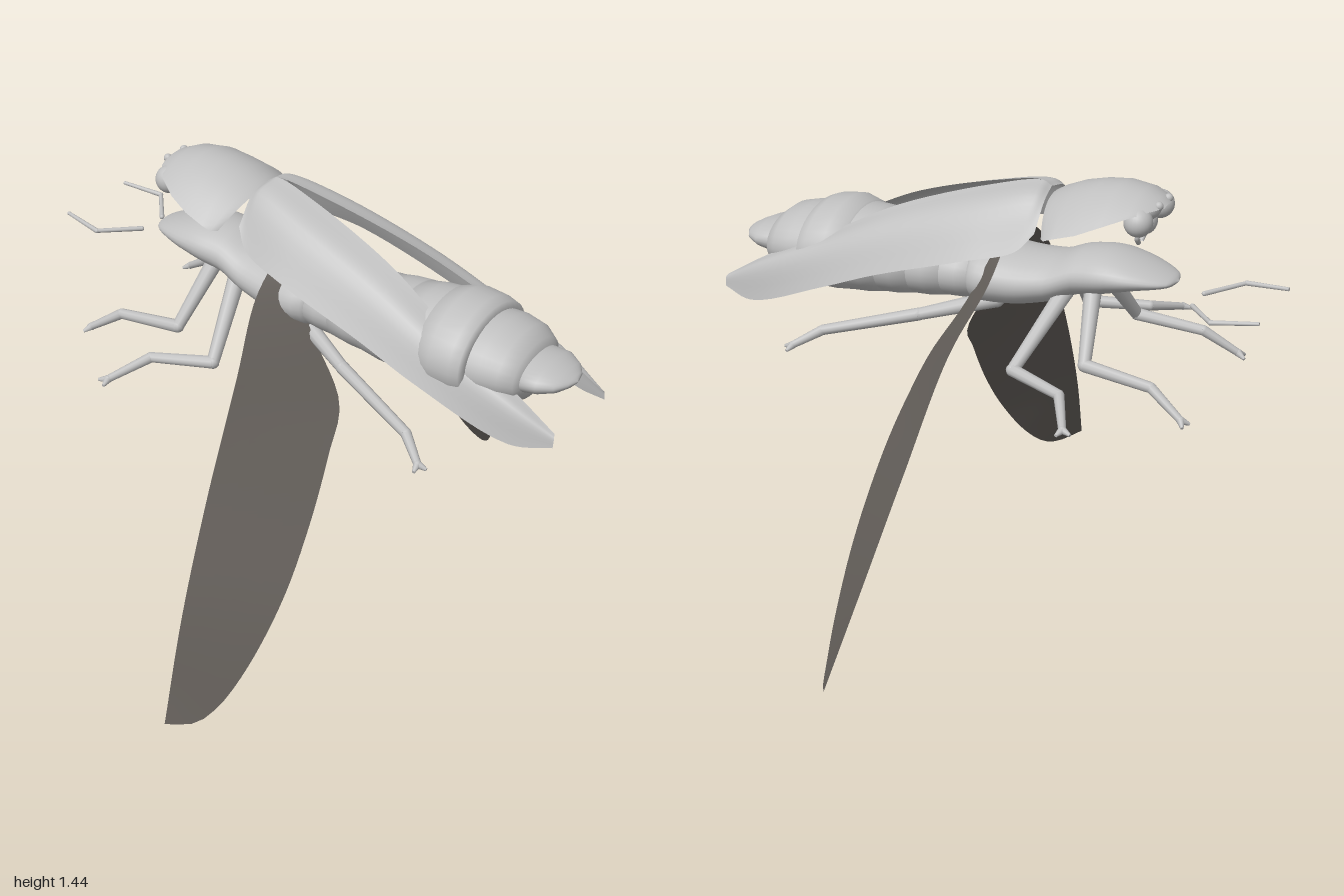
import * as THREE from 'three';

const MID = -0.05; // body midline in x

export function createModel() {
  const model = new THREE.Group();
  model.name = 'beetle';
  const shell = new THREE.MeshStandardMaterial({ name: 'shellGrey', color: 0xc0c0c0, side: THREE.DoubleSide });
  const film = new THREE.MeshStandardMaterial({ name: 'wingGrey', color: 0x67625d, side: THREE.DoubleSide });

  const V = (p) => new THREE.Vector3(...p);
  const add = (name, geometry, material = shell, parent = model) => {
    const mesh = new THREE.Mesh(geometry, material);
    mesh.name = name;
    parent.add(mesh);
    return mesh;
  };

  // Skin over rows of points, optionally closed around each row
  function skin(rows, closed) {
    const n = rows[0].length, index = [];
    for (let i = 0; i < rows.length - 1; i++) {
      for (let j = 0; j < (closed ? n : n - 1); j++) {
        const k = (j + 1) % n, a = i * n + j, b = i * n + k;
        index.push(a, b, a + n, b, b + n, a + n);
      }
    }
    const g = new THREE.BufferGeometry();
    g.setAttribute('position', new THREE.Float32BufferAttribute(rows.flat(2), 3));
    g.setIndex(index);
    g.computeVertexNormals();
    return g;
  }

  // Body piece from stations [z, half width, top, bottom], with z rising
  function bodyPiece(stations, sides = 32) {
    return skin(stations.map(([z, rx, top, bottom]) =>
      Array.from({ length: sides }, (_, j) => {
        const a = (j / sides) * Math.PI * 2;
        return [MID + rx * Math.cos(a), (top + bottom) / 2 + ((top - bottom) / 2) * Math.sin(a), z];
      })), true);
  }

  // Resample stations along a smooth curve
  function smooth(stations, count) {
    const a = new THREE.CatmullRomCurve3(stations.map((s) => V([s[0], s[1], 0])));
    const b = new THREE.CatmullRomCurve3(stations.map((s) => V([s[2], s[3], 0])));
    return Array.from({ length: count + 1 }, (_, i) => {
      const p = a.getPoint(i / count), q = b.getPoint(i / count);
      return [p.x, p.y, q.x, q.y];
    });
  }

  // Thorax with its pointed front
  add('thorax', bodyPiece(smooth([
    [-0.62, 0.004, 1.16, 1.156], [-0.6, 0.06, 1.175, 1.143], [-0.5, 0.115, 1.21, 1.12],
    [-0.4, 0.13, 1.23, 1.09], [-0.31, 0.125, 1.22, 1.07], [-0.22, 0.135, 1.185, 1.03],
    [-0.1, 0.15, 1.18, 1.0], [0.03, 0.15, 1.19, 0.99], [0.08, 0.06, 1.13, 1.05],
  ], 32)));

  // Overlapping abdomen segments, each flared at its rear rim
  for (let i = 0; i < 4; i++) {
    const z = 0.02 + i * 0.113, t = i / 3;
    const top = 1.19 + 0.035 * t, bottom = 0.985 - 0.045 * t, rx = 0.15 + 0.035 * t;
    add('abdomenSegment', bodyPiece([
      [z - 0.02, rx * 0.5, top - 0.06, bottom + 0.06], [z, rx * 0.93, top - 0.014, bottom + 0.014],
      [z + 0.06, rx * 0.98, top - 0.003, bottom + 0.003], [z + 0.112, rx, top, bottom],
      [z + 0.122, rx * 0.97, top - 0.007, bottom + 0.007], [z + 0.123, rx * 0.6, top - 0.06, bottom + 0.06],
    ]));
  }
  add('broadAbdomenSegment', bodyPiece([
    [0.46, 0.15, 1.2, 0.98], [0.475, 0.19, 1.23, 0.94], [0.53, 0.205, 1.245, 0.935],
    [0.6, 0.203, 1.235, 0.935], [0.63, 0.197, 1.222, 0.945], [0.64, 0.18, 1.2, 0.96], [0.64, 0.01, 1.09, 1.07],
  ]));
  add('rearAbdomenSegment', bodyPiece([
    [0.6, 0.17, 1.205, 0.96], [0.68, 0.175, 1.2, 0.965], [0.74, 0.163, 1.185, 0.975],
    [0.78, 0.138, 1.155, 0.985], [0.795, 0.1, 1.12, 1.01], [0.795, 0.01, 1.07, 1.06],
  ]));
  add('tailPlate', bodyPiece([
    [0.75, 0.08, 1.11, 1.01], [0.79, 0.115, 1.13, 1.015], [0.84, 0.115, 1.122, 1.03],
    [0.885, 0.085, 1.102, 1.045], [0.91, 0.045, 1.088, 1.06], [0.92, 0.002, 1.075, 1.07],
  ]));

  // Arched shield over the head: [z, half width, top, rim, backward sweep of rim]
  const shieldRows = [
    [-0.205, 0.195, 1.385, 1.3, 0.04], [-0.23, 0.212, 1.4, 1.302, 0.03], [-0.29, 0.217, 1.425, 1.315, 0],
    [-0.36, 0.207, 1.443, 1.335, 0], [-0.43, 0.188, 1.45, 1.365, 0], [-0.5, 0.145, 1.44, 1.39, 0],
    [-0.55, 0.085, 1.42, 1.4, 0], [-0.575, 0.03, 1.4, 1.397, 0],
  ];
  add('headShield', skin(shieldRows.map(([z, w, top, rim, sweep]) =>
    Array.from({ length: 25 }, (_, j) => {
      const u = j / 12 - 1;
      return [0.003 + MID + w * u, rim + (top - rim) * (1 - u * u), z - sweep * u * u];
    })), false));

  // Head, eyes, mandibles
  const head = new THREE.Group();
  head.name = 'head';
  model.add(head);
  const skull = add('skull', new THREE.SphereGeometry(1, 24, 16), shell, head);
  skull.scale.set(0.085, 0.045, 0.07);
  skull.position.set(MID, 1.378, -0.48);
  const muzzle = add('muzzle', new THREE.SphereGeometry(1, 16, 12), shell, head);
  muzzle.scale.set(0.045, 0.04, 0.035);
  muzzle.position.set(MID, 1.335, -0.505);
  for (const s of [-1, 1]) {
    add('eye', new THREE.SphereGeometry(0.045, 24, 16), shell, head).position.set(MID + s * 0.09, 1.363, -0.515);
    const hook = new THREE.CatmullRomCurve3([[0.02, 1.32, -0.5], [0.035, 1.29, -0.492], [0.012, 1.265, -0.488]]
      .map(([x, y, z]) => V([MID + s * x, y, z])));
    add('mandible', new THREE.TubeGeometry(hook, 8, 0.008, 8), shell, head);
    add('antennaSocket', new THREE.SphereGeometry(0.014, 10, 8), shell, head).position.set(MID + s * 0.04, 1.405, -0.56);
  }

  // Rod through two points, tapered, with a ball at its start
  function rod(name, p, q, r0, r1, parent) {
    const a = V(p), b = V(q), dir = b.clone().sub(a);
    const g = new THREE.CylinderGeometry(r1, r0, dir.length(), 10);
    g.applyQuaternion(new THREE.Quaternion().setFromUnitVectors(V([0, 1, 0]), dir.clone().normalize()));
    const mid = a.clone().add(b).multiplyScalar(0.5);
    g.translate(mid.x, mid.y, mid.z);
    add(name, g, shell, parent);
    add(name + 'Joint', new THREE.SphereGeometry(r0, 10, 8), shell, parent).position.copy(a);
  }

  // Legs and antennae, x measured from the midline
  const legs = {
    frontLeg: [[0.05, 1.12, -0.36], [0.215, 0.92, -0.405], [0.23, 0.9, -0.63], [0.262, 0.83, -0.74]],
    middleLeg: [[0.07, 1.08, -0.27], [0.295, 0.895, -0.2], [0.37, 0.885, -0.39], [0.5, 0.845, -0.46]],
    hindLeg: [[0.06, 1.01, -0.03], [0.16, 0.95, 0.2], [0.26, 0.875, 0.5], [0.32, 0.83, 0.58]],
  };
  for (const s of [-1, 1]) {
    const place = ([x, y, z]) => [MID + s * x, y, z];
    for (const [name, path] of Object.entries(legs)) {
      const leg = new THREE.Group();
      leg.name = (s > 0 ? 'left ' : 'right ') + name;
      model.add(leg);
      const [hip, knee, ankle, toe] = path.map(place);
      rod('thigh', hip, knee, 0.029, 0.02, leg);
      rod('shin', knee, ankle, 0.021, 0.017, leg);
      rod('foot', ankle, toe, 0.017, 0.012, leg);
      const d = V(toe).sub(V(ankle)).normalize();
      const side = V([-d.z, 0, d.x]);
      for (const c of [-1, 1]) {
        const end = V(toe).addScaledVector(d, 0.025).addScaledVector(side, c * 0.022);
        rod('claw', toe, end.toArray(), 0.013, 0.005, leg);
      }
    }
    const antenna = new THREE.Group();
    antenna.name = s > 0 ? 'leftAntenna' : 'rightAntenna';
    model.add(antenna);
    const [a, b, c] = [[0.052, 1.115, -0.69], [0.165, 1.125, -0.787], [0.142, 1.14, -0.93]]
      .map(([x, y, z]) => [-0.037 + s * x, y, z]);
    rod('antennaBase', a, b, 0.008, 0.007, antenna);
    rod('antennaTip', b, c, 0.008, 0.006, antenna);
  }

  // Wing covers: inner edge, crown and outer edge, swept from front to tip
  const edges = [
    [[0.0, 1.405, -0.2], [0.0, 1.42, -0.17], [0.022, 1.385, 0], [0.07, 1.285, 0.3], [0.11, 1.185, 0.5], [0.135, 1.05, 0.77], [0.145, 0.96, 0.92]],
    [[0.075, 1.385, -0.21], [0.085, 1.395, -0.18], [0.125, 1.35, 0], [0.165, 1.245, 0.3], [0.185, 1.155, 0.5], [0.182, 1.035, 0.77], [0.155, 0.95, 0.925]],
    [[0.15, 1.3, -0.21], [0.185, 1.245, -0.16], [0.225, 1.2, 0], [0.24, 1.105, 0.3], [0.24, 1.025, 0.5], [0.2, 0.908, 0.8], [0.16, 0.92, 0.925]],
  ].map((pts) => new THREE.CatmullRomCurve3(pts.map(V)));
  for (const s of [-1, 1]) {
    const rows = [];
    for (let i = 0; i <= 36; i++) {
      const [a, b, c] = edges.map((e) => e.getPoint(i / 36));
      const arc = new THREE.CatmullRomCurve3([a, b, c]);
      rows.push(arc.getPoints(12).map((p) => [-0.03 + s * p.x, p.y, p.z]));
    }
    add(s > 0 ? 'leftWingCover' : 'rightWingCover', skin(rows, false));
  }

  // Thin hind wings hanging outward, between leading and trailing edges
  const wings = {
    leftWing: [
      [[0.07, 1.23, -0.09], [0.2, 1.13, -0.09], [0.37, 0.965, -0.045], [0.615, 0.665, -0.015], [0.825, 0.385, 0.015], [1.0, 0.1, 0.06]],
      [[0.07, 1.22, -0.06], [0.1, 1.02, 0.035], [0.13, 0.83, 0.15], [0.22, 0.72, 0.18], [0.33, 0.61, 0.195], [0.45, 0.456, 0.21],
        [0.57, 0.31, 0.21], [0.73, 0.16, 0.18], [0.85, 0.085, 0.14], [0.93, 0.07, 0.105], [1.0, 0.1, 0.06]],
    ],
    rightWing: [
      [[-0.13, 1.23, -0.09], [-0.26, 1.12, -0.09], [-0.42, 0.935, -0.045], [-0.65, 0.61, 0.0], [-0.845, 0.305, 0.045], [-1.0, 0.025, 0.09]],
      [[-0.13, 1.22, -0.06], [-0.16, 1.02, 0.04], [-0.18, 0.79, 0.17], [-0.28, 0.67, 0.2], [-0.42, 0.49, 0.225],
        [-0.58, 0.3, 0.235], [-0.74, 0.12, 0.21], [-0.85, 0.03, 0.18], [-0.925, 0.005, 0.15], [-1.0, 0.025, 0.09]],
    ],
  };
  for (const [name, pair] of Object.entries(wings)) {
    const [lead, trail] = pair.map((pts) => new THREE.CatmullRomCurve3(pts.map(V)));
    const rows = [];
    for (let i = 0; i <= 40; i++) {
      const a = lead.getPointAt(i / 40), b = trail.getPointAt(i / 40);
      rows.push([0, 0.25, 0.5, 0.75, 1].map((t) => a.clone().lerp(b, t).toArray()));
    }
    add(name, skin(rows, false), film);
  }

  return model;
}
